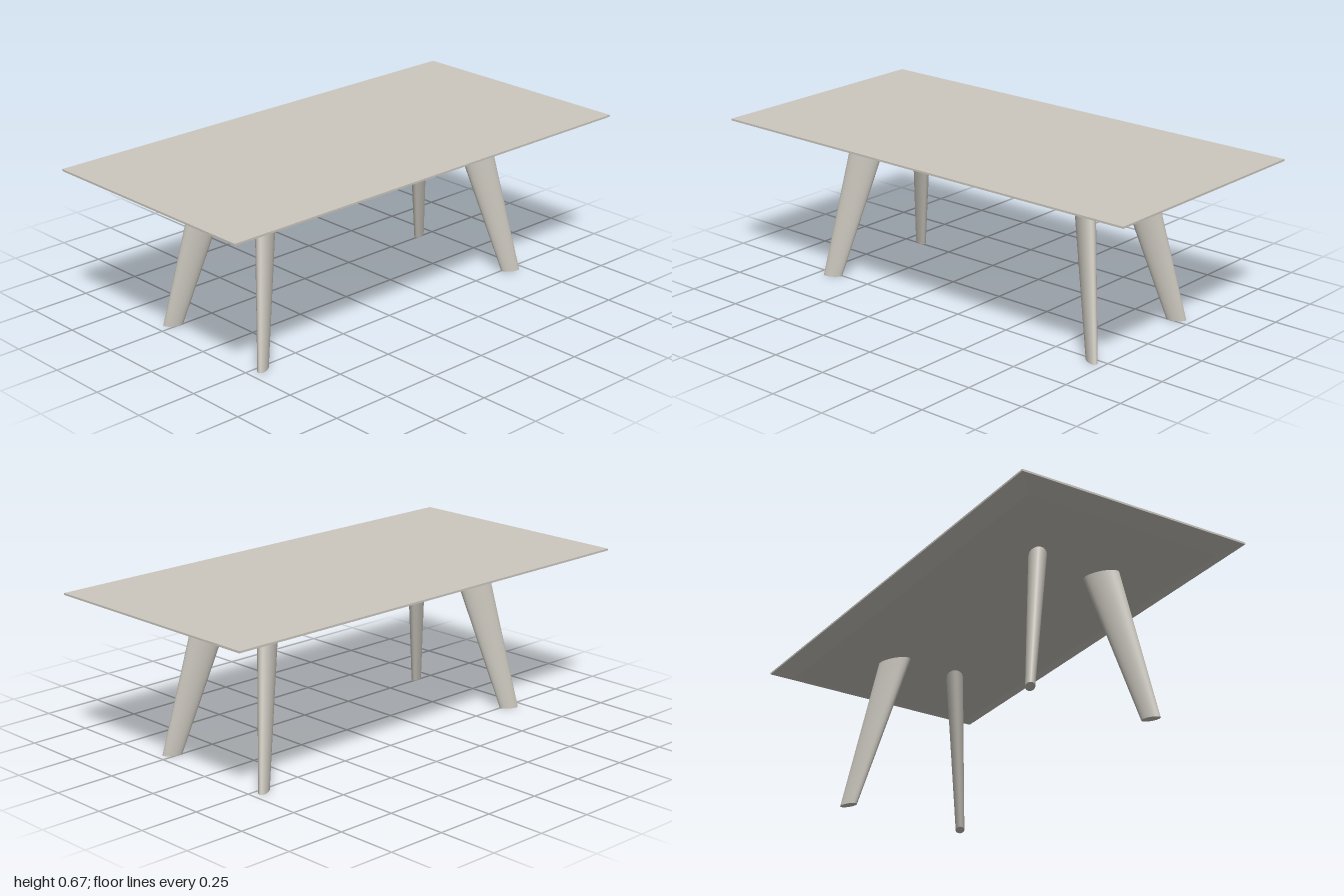
import * as THREE from 'three';

const stone = new THREE.MeshStandardMaterial({ color: 0xccc8bf });
stone.name = 'warm grey';

const TOP_Y = 0.67, LIP_Y = 0.662, UNDER_Y = 0.63;

// Slab with a thin vertical lip and a wide bevel underneath
function tabletop() {
  let geo = new THREE.BoxGeometry(2, 2, 1.01, 1, 2, 1);
  const p = geo.attributes.position;
  for (let i = 0; i < p.count; i++) {
    const y = p.getY(i);
    if (y < -0.5) {
      p.setXYZ(i, Math.sign(p.getX(i)) * 0.915, UNDER_Y, Math.sign(p.getZ(i)) * 0.427);
    } else {
      p.setY(i, y > 0.5 ? TOP_Y : LIP_Y);
    }
  }
  geo = geo.toNonIndexed();
  geo.computeVertexNormals();
  const mesh = new THREE.Mesh(geo, stone);
  mesh.name = 'tabletop';
  return mesh;
}

// Tapered oval leg, its long axis turned outwards, leaning from top to foot
function leg(name, foot, top) {
  const h = UNDER_Y;
  const turn = -Math.sign(foot.x * foot.z) * THREE.MathUtils.degToRad(29.5);
  const lean = new THREE.Matrix4().set(
    1, (top.x - foot.x) / h, 0, foot.x,
    0, 1, 0, 0,
    0, (top.z - foot.z) / h, 1, foot.z,
    0, 0, 0, 1
  );
  const geo = new THREE.CylinderGeometry(0.075, 0.039, h, 48)
    .translate(0, h / 2, 0)
    .scale(1, 1, 0.475)
    .rotateY(turn)
    .applyMatrix4(lean);
  const mesh = new THREE.Mesh(geo, stone);
  mesh.name = name;
  return mesh;
}

export function createModel() {
  const table = new THREE.Group();
  table.name = 'table';
  table.add(tabletop());
  for (const [side, footX, topX] of [['Left', 0.688, 0.547], ['Right', -0.68, -0.551]]) {
    for (const [end, footZ, topZ] of [['front', 0.269, 0.151], ['back', -0.269, -0.145]]) {
      table.add(leg(end + side + 'Leg', { x: footX, z: footZ }, { x: topX, z: topZ }));
    }
  }
  return table;
}
